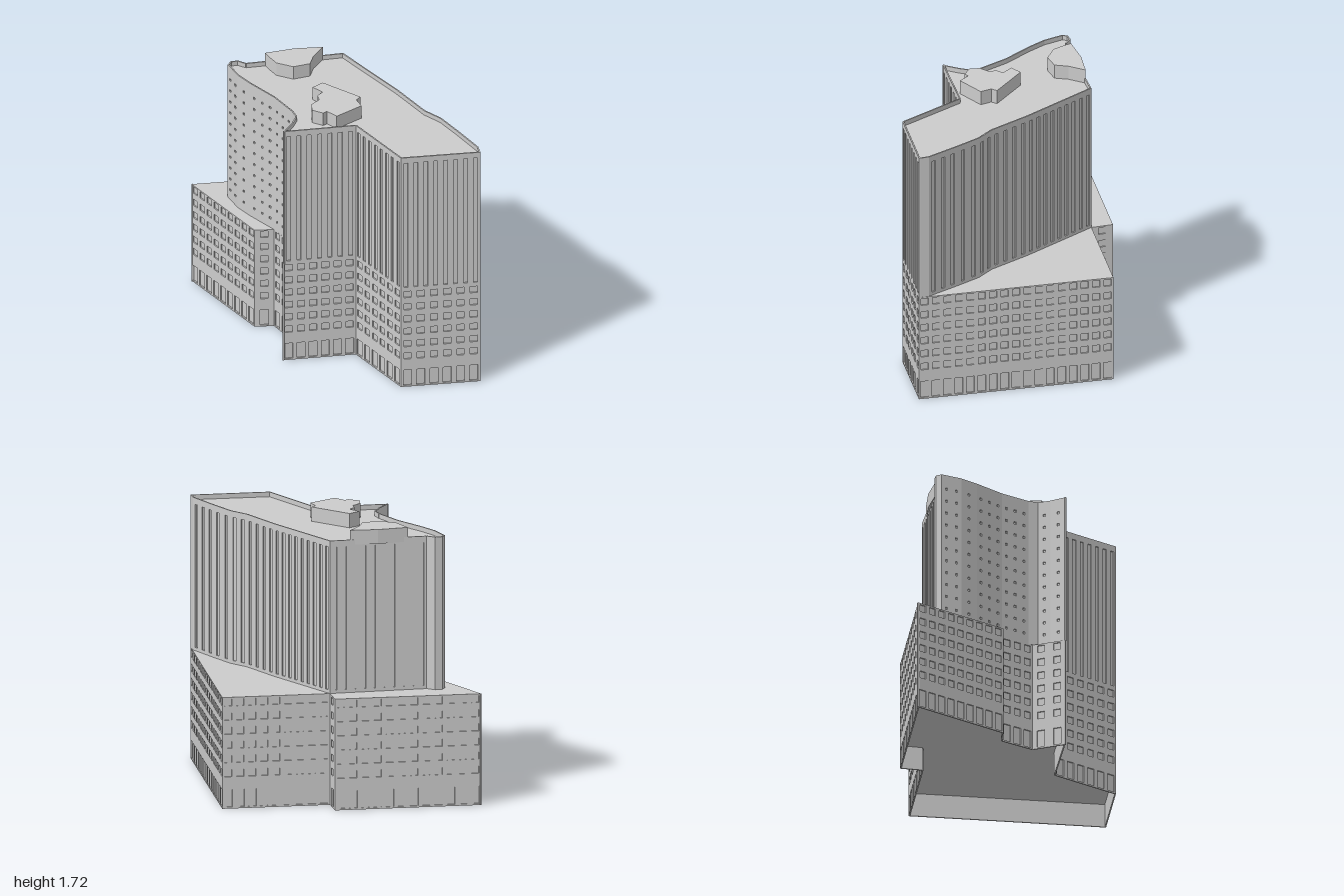
import * as THREE from 'three';

const concrete = new THREE.MeshStandardMaterial({ color: 0xcccccc, side: THREE.DoubleSide });
concrete.name = 'pale concrete';
const DEPTH = 0.008; // wall thickness and window recess

// Footprints as [x, z], anticlockwise seen from above
const podiumPlan = [
  [-0.54, -1.0], [-0.585, -0.36], [-0.49, -0.29], [-0.515, -0.07], [-0.70, 0.035], [-0.32, 0.275],
  [-0.35, 0.73], [0.06, 0.995], [0.705, -0.03], [0.15, -0.39], [0.215, -0.51],
];
const towerPlan = [
  [-0.37, -0.69], [-0.39, -0.745], [-0.43, -0.765], [-0.465, -0.75], [-0.497, -0.62], [-0.50, -0.50],
  [-0.49, -0.29], [-0.51, -0.10], [-0.53, -0.04], [-0.60, 0.0], [-0.70, 0.04], [-0.32, 0.275],
  [-0.35, 0.73], [0.06, 0.995], [0.09, 0.94], [0.115, 0.72], [0.13, 0.55], [0.11, 0.42],
  [0.135, 0.14], [0.15, -0.39],
];
const frontPlantPlan = [
  [-0.30, -0.15], [-0.29, -0.07], [-0.34, -0.06], [-0.36, -0.02], [-0.43, -0.01], [-0.47, 0.04],
  [-0.44, 0.11], [-0.41, 0.11], [-0.40, 0.19], [-0.21, 0.20], [-0.19, 0.13], [-0.15, 0.12], [-0.22, -0.15],
];
const backPlantPlan = [
  [-0.27, -0.63], [-0.28, -0.58], [-0.29, -0.50], [-0.24, -0.40], [-0.14, -0.36],
  [-0.07, -0.41], [0.04, -0.45], [-0.10, -0.55],
];

function mesh(geometry, name) {
  const m = new THREE.Mesh(geometry, concrete);
  m.name = name;
  return m;
}

const planShape = (plan) => new THREE.Shape(plan.map(([x, z]) => new THREE.Vector2(x, -z)));

// Horizontal sheet over a footprint
function slab(plan, y, name) {
  const m = mesh(new THREE.ShapeGeometry(planShape(plan)).rotateX(-Math.PI / 2), name);
  m.position.y = y;
  return m;
}

// Solid block over a footprint
function block(plan, y0, y1, name) {
  const g = new THREE.ExtrudeGeometry(planShape(plan), { depth: y1 - y0, bevelEnabled: false });
  const m = mesh(g.rotateX(-Math.PI / 2), name);
  m.position.y = y0;
  return m;
}

// One wall from a to b with openings in a grid, closed by a recessed pane
function wall(a, b, y0, y1, { pitch, width, rows }, name) {
  const dx = b[0] - a[0], dz = b[1] - a[1];
  const length = Math.hypot(dx, dz);
  const shape = new THREE.Shape();
  shape.moveTo(0, y0).lineTo(length, y0).lineTo(length, y1).lineTo(0, y1).closePath();
  const columns = Math.floor((length - 0.01) / pitch);
  const step = length / Math.max(columns, 1);
  for (let i = 0; i < columns; i++) {
    const left = (i + 0.5) * step - width / 2;
    for (const [low, high] of rows) {
      const hole = new THREE.Path();
      hole.moveTo(left, low).lineTo(left, high).lineTo(left + width, high).lineTo(left + width, low).closePath();
      shape.holes.push(hole);
    }
  }
  const group = new THREE.Group();
  group.name = name;
  const face = new THREE.ExtrudeGeometry(shape, { depth: DEPTH, bevelEnabled: false });
  group.add(mesh(face.translate(0, 0, -DEPTH), name + 'Face'));
  const pane = new THREE.PlaneGeometry(length, y1 - y0);
  group.add(mesh(pane.translate(length / 2, (y0 + y1) / 2, -DEPTH - 0.0005), name + 'Panes'));
  group.position.set(a[0], 0, a[1]);
  group.rotation.y = Math.atan2(-dz, dx);
  return group;
}

// Walls all round a footprint; pattern may depend on the wall
function walls(plan, y0, y1, pattern, name) {
  const group = new THREE.Group();
  group.name = name;
  plan.forEach((a, i) => {
    const b = plan[(i + 1) % plan.length];
    group.add(wall(a, b, y0, y1, pattern(i), name + 'Wall'));
  });
  return group;
}

const floors = (count, first, step, height) =>
  Array.from({ length: count }, (_, i) => [first + i * step, first + i * step + height]);

export function createModel() {
  const model = new THREE.Group();
  model.name = 'towerBuilding';

  // Street level with tall shopfront openings, open underneath
  const shopfront = { pitch: 0.07, width: 0.05, rows: [[0.01, 0.12]] };
  model.add(walls(podiumPlan, 0, 0.15, () => shopfront, 'streetLevel'));
  model.add(slab(podiumPlan, 0.15, 'firstFloor'));

  // Podium with six rows of windows
  const office = { pitch: 0.07, width: 0.045, rows: floors(6, 0.20, 0.089, 0.045) };
  model.add(walls(podiumPlan, 0.15, 0.70, () => office, 'podium'));
  model.add(slab(podiumPlan, 0.70, 'podiumRoof'));

  // Tower: tall slots on most walls, small windows on the curved west side
  const slots = { pitch: 0.055, width: 0.025, rows: [[0.72, 1.62]] };
  const small = { pitch: 0.06, width: 0.015, rows: floors(11, 0.76, 0.08, 0.015) };
  model.add(walls(towerPlan, 0.70, 1.66, (i) => (i >= 3 && i <= 9 ? small : slots), 'tower'));
  model.add(slab(towerPlan, 1.63, 'towerRoof'));

  // Plant rooms on the roof
  model.add(block(frontPlantPlan, 1.63, 1.72, 'frontPlantRoom'));
  model.add(block(backPlantPlan, 1.63, 1.72, 'backPlantRoom'));

  return model;
}
